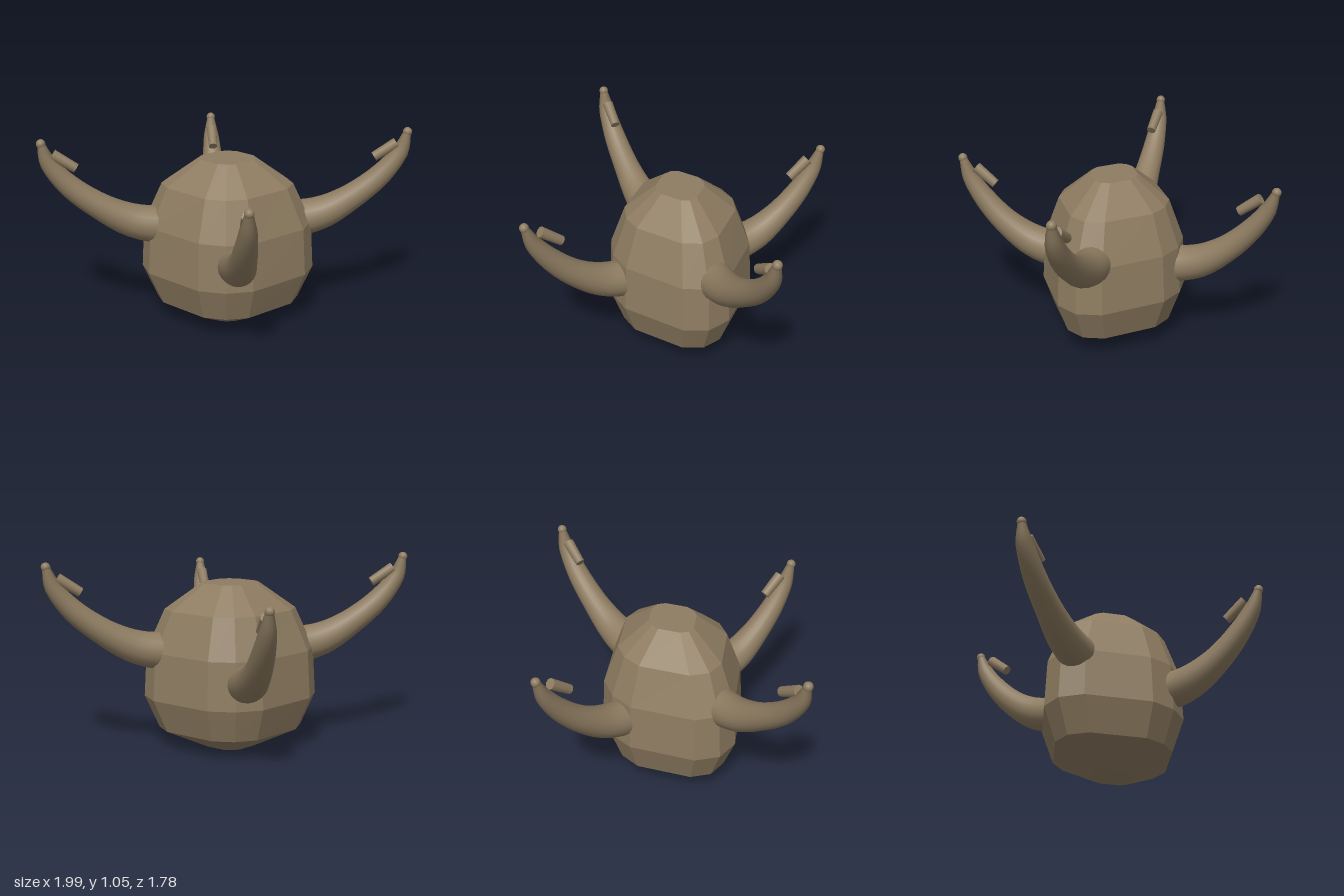
import * as THREE from 'three';

const horn = new THREE.MeshStandardMaterial({ color: 0x8e7c61 });
horn.name = 'brown';

// Faceted body: twelve-sided rounded-diamond rings, stacked and capped
function bodyGeometry() {
  const rings = [ // y, half width, half depth
    [0, 0.14, 0.115], [0.11, 0.39, 0.33], [0.29, 0.47, 0.395],
    [0.55, 0.455, 0.38], [0.77, 0.355, 0.3], [0.912, 0.155, 0.13],
  ];
  const quarter = [[1, 0], [0.9, 0.33], [0.31, 0.92]];
  const outline = [
    ...quarter,
    [0, 1], [-0.31, 0.92], [-0.9, 0.33],
    ...quarter.map(([x, z]) => [-x, -z]),
    [0, -1], [0.31, -0.92], [0.9, -0.33],
  ];
  const n = outline.length;
  const pos = [], index = [];
  for (const [y, w, d] of rings) for (const [x, z] of outline) pos.push(x * w, y, z * d);
  for (let r = 0; r < rings.length - 1; r++) {
    for (let i = 0; i < n; i++) {
      const a = r * n + i, b = r * n + (i + 1) % n;
      index.push(a, a + n, b, b, a + n, b + n);
    }
  }
  const top = (rings.length - 1) * n;
  for (let i = 1; i < n - 1; i++) {
    index.push(0, i, i + 1);
    index.push(top, top + i + 1, top + i);
  }
  const g = new THREE.BufferGeometry();
  g.setAttribute('position', new THREE.Float32BufferAttribute(pos, 3));
  g.setIndex(index);
  const flat = g.toNonIndexed();
  flat.computeVertexNormals();
  return flat;
}

// Smooth tapering tube along a curve
function taperedTube(points, radii, steps = 32, sides = 20) {
  const curve = new THREE.CatmullRomCurve3(points);
  const g = new THREE.TubeGeometry(curve, steps, 1, sides, false);
  const p = g.attributes.position, v = new THREE.Vector3();
  for (let i = 0; i <= steps; i++) {
    const u = i / steps, c = curve.getPointAt(u);
    const t = curve.getUtoTmapping(u) * (radii.length - 1);
    const k = Math.min(Math.floor(t), radii.length - 2);
    const r = THREE.MathUtils.lerp(radii[k], radii[k + 1], t - k);
    for (let j = 0; j <= sides; j++) {
      const id = i * (sides + 1) + j;
      v.fromBufferAttribute(p, id).sub(c).multiplyScalar(r).add(c);
      p.setXYZ(id, v.x, v.y, v.z);
    }
  }
  return g;
}

function addMesh(parent, geometry, name) {
  const m = new THREE.Mesh(geometry, horn);
  m.name = name;
  parent.add(m);
  return m;
}

// One horn with a rounded tip and a short peg near its end
function makeHorn(name, path, radii, peg) {
  const g = new THREE.Group();
  g.name = name;
  const pts = path.map((p) => new THREE.Vector3(...p));
  addMesh(g, taperedTube(pts, radii), 'hornShaft');
  addMesh(g, new THREE.SphereGeometry(0.025, 16, 12), 'hornTip').position.copy(pts[pts.length - 1]);

  const [a, b] = peg.map((p) => new THREE.Vector3(...p));
  const dir = b.clone().sub(a);
  const m = addMesh(g, new THREE.CylinderGeometry(0.03, 0.026, dir.length(), 10), 'hornPeg');
  m.position.copy(a).add(b).multiplyScalar(0.5);
  m.quaternion.setFromUnitVectors(new THREE.Vector3(0, 1, 0), dir.normalize());
  return g;
}

export function createModel() {
  const model = new THREE.Group();
  model.name = 'hornedPod';
  addMesh(model, bodyGeometry(), 'body');

  const radii = [0.1, 0.1, 0.09, 0.072, 0.06, 0.045, 0.02];
  const sidePath = [
    [0.3, 0.55, -0.04], [0.41, 0.555, -0.06], [0.53, 0.585, -0.075], [0.68, 0.665, -0.097],
    [0.84, 0.79, -0.12], [0.94, 0.92, -0.135], [0.972, 1.022, -0.14],
  ];
  const frontPath = [
    [0.035, 0.43, 0.25], [0.055, 0.432, 0.36], [0.07, 0.465, 0.48], [0.09, 0.555, 0.62],
    [0.105, 0.675, 0.74], [0.116, 0.8, 0.825], [0.12, 0.905, 0.865],
  ];
  const sidePeg = [[0.795, 0.885, -0.125], [0.915, 0.962, -0.133]];
  const frontPeg = [[0.1, 0.775, 0.675], [0.113, 0.86, 0.785]];

  // Opposite horns are the same shape turned half way round
  for (const turned of [false, true]) {
    const side = makeHorn(turned ? 'rightHorn' : 'leftHorn', sidePath, radii, sidePeg);
    const front = makeHorn(turned ? 'backHorn' : 'frontHorn', frontPath, radii, frontPeg);
    side.rotation.y = front.rotation.y = turned ? Math.PI : 0;
    model.add(side, front);
  }
  return model;
}
